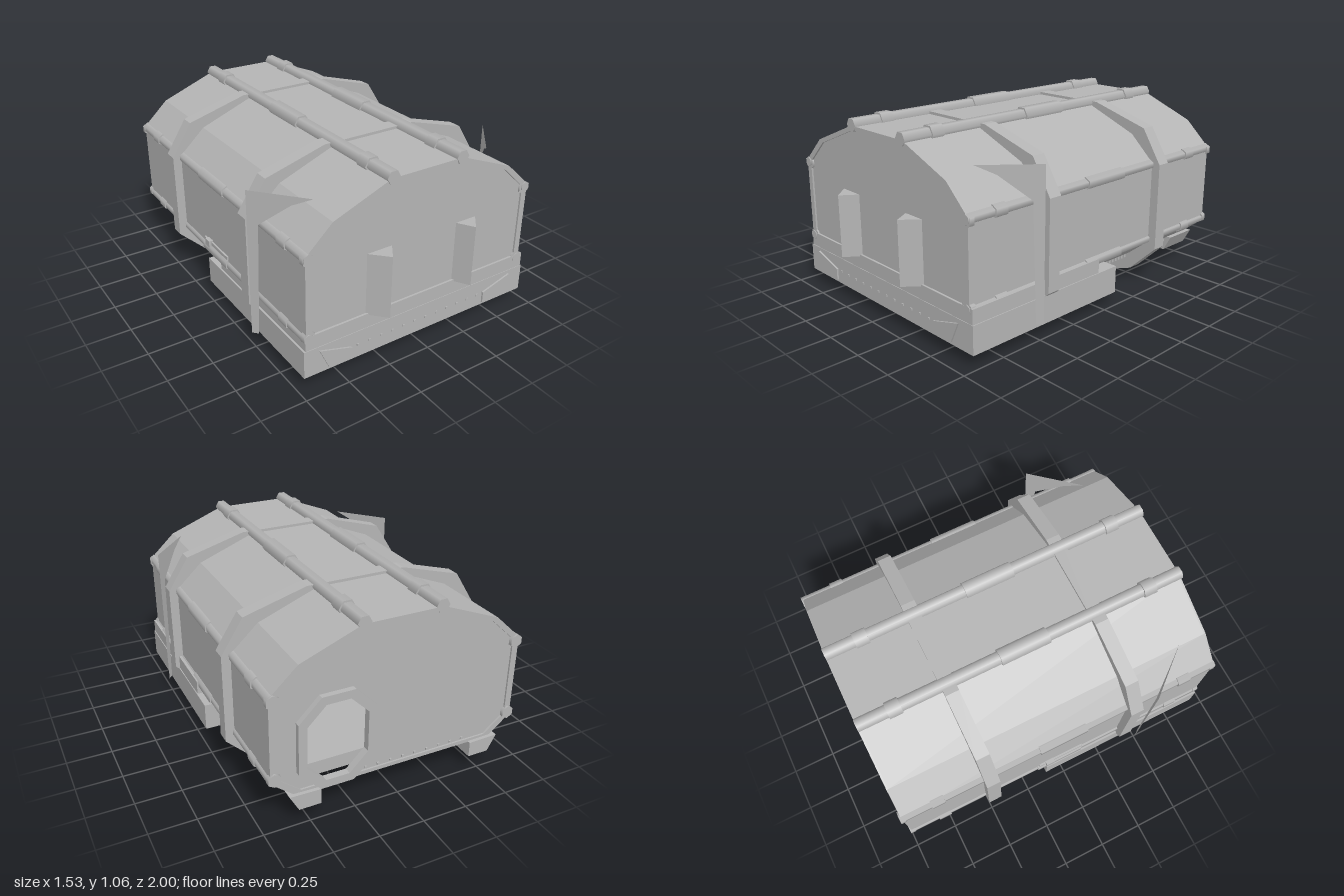
import * as THREE from 'three';

export function createModel() {
  const model = new THREE.Group();
  model.name = 'habitatModule';
  const grey = new THREE.MeshStandardMaterial({ color: 0xb4b4b4 });
  grey.name = 'hull grey';
  const greyThin = new THREE.MeshStandardMaterial({ color: 0xb4b4b4, side: THREE.DoubleSide });
  greyThin.name = 'thin plate grey';

  const add = (name, geo, x = 0, y = 0, z = 0, mat = grey) => {
    const m = new THREE.Mesh(geo, mat);
    m.name = name;
    m.position.set(x, y, z);
    model.add(m);
    return m;
  };
  const box = (name, x0, x1, y0, y1, z0, z1) =>
    add(name, new THREE.BoxGeometry(x1 - x0, y1 - y0, z1 - z0), (x0 + x1) / 2, (y0 + y1) / 2, (z0 + z1) / 2);
  const vec = pts => pts.map(p => new THREE.Vector2(p[0], p[1]));
  // Right half from bottom to top, mirrored into a full anticlockwise outline
  const mirrored = half => vec([...half, ...half.map(([x, y]) => [-x, y]).reverse()]);
  const extrude = (pts, depth, hole) => {
    const s = new THREE.Shape(pts);
    if (hole) s.holes.push(new THREE.Path(hole));
    return new THREE.ExtrudeGeometry(s, { depth, bevelEnabled: false });
  };
  const scaled = (pts, k, cy) => pts.map(p => new THREE.Vector2(p.x * k, cy + (p.y - cy) * k));

  // Hull: one-sided faceted skin
  const hull = mirrored([[0.57, 0.165], [0.7, 0.27], [0.7, 0.74], [0.55, 0.88], [0.22, 1.01]]);
  const F = 0.91, B = -0.97, pos = [];
  hull.forEach((a, i) => {
    const b = hull[(i + 1) % hull.length];
    pos.push(a.x, a.y, F, a.x, a.y, B, b.x, b.y, B, a.x, a.y, F, b.x, b.y, B, b.x, b.y, F);
  });
  const skin = new THREE.BufferGeometry();
  skin.setAttribute('position', new THREE.Float32BufferAttribute(pos, 3));
  skin.computeVertexNormals();
  add('hullSkin', skin);

  // End walls with a raised border; the back wall has the hatch opening
  const octagon = (cx, cy, w, h, c) => vec([
    [cx - w + c, cy - h], [cx + w - c, cy - h], [cx + w, cy - h + c], [cx + w, cy + h - c],
    [cx + w - c, cy + h], [cx - w + c, cy + h], [cx - w, cy + h - c], [cx - w, cy - h + c]]);
  const opening = octagon(-0.35, 0.43, 0.165, 0.215, 0.1);
  add('frontWall', new THREE.ShapeGeometry(new THREE.Shape(hull)), 0, 0, F);
  const backShape = new THREE.Shape(hull);
  backShape.holes.push(new THREE.Path(opening));
  add('backWall', new THREE.ShapeGeometry(backShape), 0, 0, B).rotation.y = Math.PI;
  const border = () => extrude(hull, 0.01, scaled(hull, 0.95, 0.58));
  add('frontBorder', border(), 0, 0, F);
  add('backBorder', border(), 0, 0, B - 0.01);
  add('hatchRim', extrude(octagon(-0.35, 0.43, 0.21, 0.26, 0.12), 0.04, opening), 0, 0, -0.96).rotation.y = Math.PI;

  // Belly keel behind the front base
  add('bellyKeel', extrude(mirrored([[0.38, 0.09], [0.5, 0.17]]), 0.68), 0, 0, -0.79);

  // Reinforcing rings around the hull
  const ring = mirrored([[0.38, 0], [0.58, 0.07], [0.75, 0.235], [0.75, 0.735], [0.63, 0.925], [0.28, 1.025]]);
  for (const z of [0.365, -0.51]) add('hullRing', extrude(ring, 0.078, scaled(hull, 0.995, 0.58)), 0, 0, z);

  // Base block under the front half
  box('frontBaseLower', -0.715, 0.73, 0.065, 0.22, -0.11, 0.925);
  box('frontBaseUpper', -0.705, 0.725, 0.22, 0.3, 0.03, 0.922);

  // Long rails with collars
  const rod = (name, r, x, y, z0, z1, turn) => {
    const g = new THREE.CylinderGeometry(r, r, z1 - z0, 6);
    g.rotateY(turn);
    g.rotateX(Math.PI / 2);
    add(name, g, x, y, (z0 + z1) / 2);
  };
  const rail = (label, x, y, r, collar, turn) => {
    rod(label + 'Rail', r, x, y, -0.98, 0.925, turn);
    for (const [z0, z1] of [[0.685, 0.76], [-0.17, 0.115], [-0.81, -0.735]])
      rod(label + 'RailCollar', collar, x, y, z0, z1, turn);
  };
  for (const s of [-1, 1]) {
    rail('roof', s * 0.213, 1.015, 0.038, 0.048, Math.PI / 6);
    rail('upperSide', s * 0.685, 0.728, 0.028, 0.036, 0);
    rail('lowerSide', s * 0.685, 0.285, 0.028, 0.036, 0);
    for (const z of [0.905, -0.975]) {
      rod('railEndCap', 0.037, s * 0.68, 0.72, z - 0.015, z + 0.015, 0);
      rod('railEndCap', 0.037, s * 0.68, 0.29, z - 0.015, z + 0.015, 0);
    }
  }

  // Diagonal side fins, drawn in a (z, y) profile and laid along a slanted line
  for (const s of [-1, 1]) {
    const g = new THREE.ShapeGeometry(new THREE.Shape(vec(
      [[0.75, 0.92], [0.49, 0.92], [0.49, 0.09], [0.52, 0.09], [0.535, 0.74], [0.665, 0.87]])));
    const p = g.attributes.position;
    for (let i = 0; i < p.count; i++) {
      const z = p.getX(i);
      p.setXYZ(i, s * (0.765 - (z - 0.49) * 0.846), p.getY(i), z);
    }
    // Wind both fins so that they face outward
    if (s > 0) {
      const idx = g.index.array;
      for (let i = 0; i < idx.length; i += 3) [idx[i], idx[i + 1]] = [idx[i + 1], idx[i]];
    }
    g.computeVertexNormals();
    add('sideFin', g, 0, 0, 0, greyThin);
  }

  // Wedge fairings on the front wall
  for (const [x0, ridge, x1] of [[-0.355, -0.26, -0.19], [0.21, 0.27, 0.355]]) {
    const g = extrude(vec([[x0, -0.9], [x1, -0.9], [ridge, -1]].reverse()), 0.35);
    g.rotateX(-Math.PI / 2);
    add('frontWedge', g, 0, 0.29, 0);
  }

  // Corner pads in front and foot blocks at the back
  for (const s of [-1, 1]) {
    const pad = vec([[0.44, 0.08], [0.575, 0.08], [0.63, 0.2], [0.44, 0.145]].map(([x, y]) => [s * x, y]));
    add('frontPad', extrude(pad, 0.015), 0, 0, 0.92);
    const foot = vec([[0.44, 0.085], [0.56, 0.085], [0.61, 0.175], [0.44, 0.17]].map(([x, y]) => [s * x, y]));
    add('rearFoot', extrude(foot, 0.21), 0, 0, -1);
  }

  // Toothed racks along the underside
  for (const s of [-1, 1])
    for (const z0 of [-0.4, -0.78]) {
      for (let i = 0; i < 10; i++) {
        const z = z0 + i * 0.028;
        box('rackTooth', s * 0.54 - 0.03, s * 0.54 + 0.03, 0.145, 0.17, z, z + 0.014);
      }
    }

  // Bolt rows on the end walls
  for (let i = 0; i < 12; i++) {
    const x = -0.4 + i * 0.0727;
    box('frontBolt', x - 0.006, x + 0.006, 0.134, 0.146, 0.92, 0.93);
    box('backBolt', x - 0.006, x + 0.006, 0.194, 0.206, -0.978, -0.965);
  }

  // Small handle on one flank
  box('flankStrip', -0.71, -0.69, 0.32, 0.34, -0.16, 0.12);
  box('flankKnob', -0.725, -0.69, 0.31, 0.35, -0.12, -0.07);

  return model;
}
